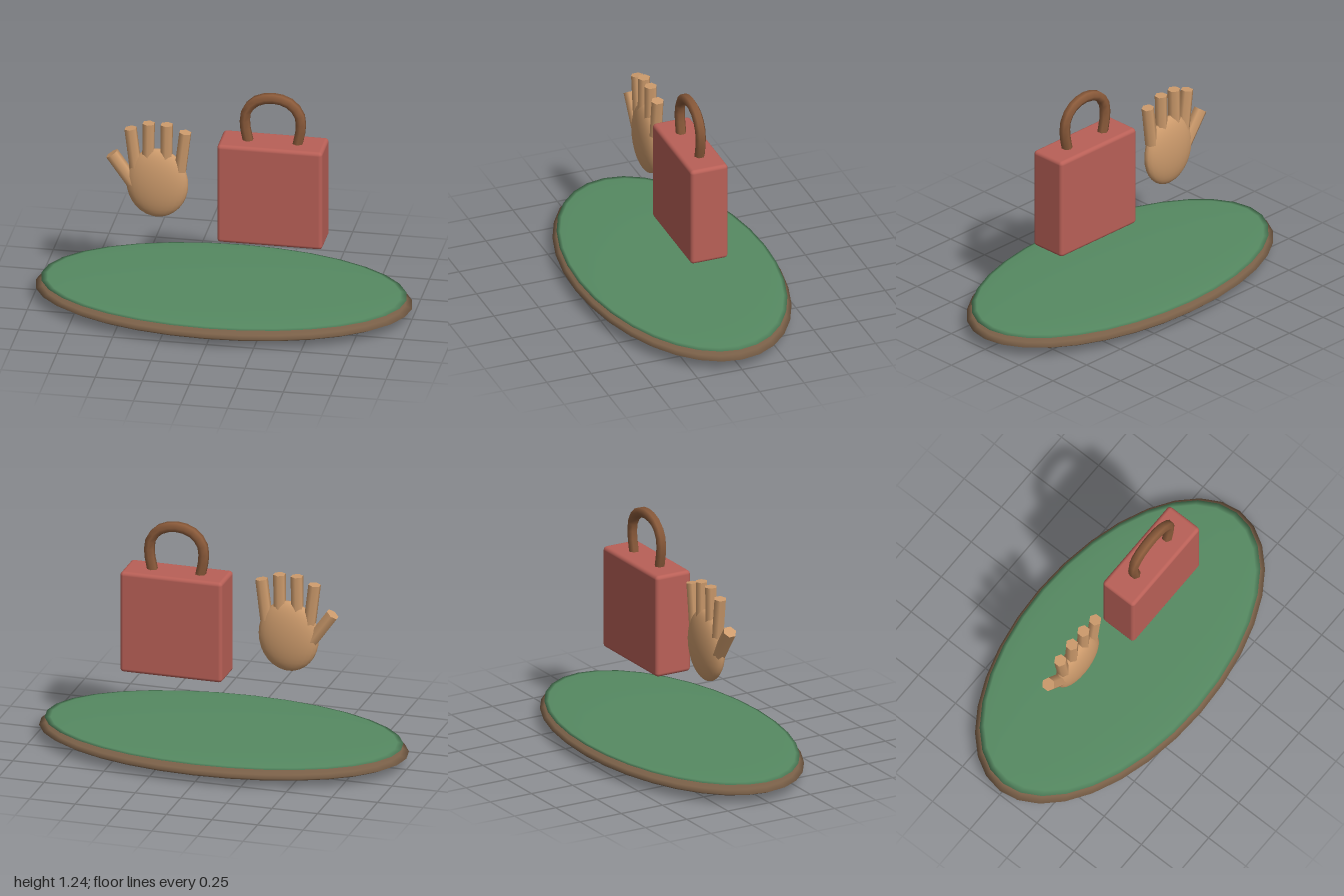
import * as THREE from 'three';
import { RoundedBoxGeometry } from 'three/addons/geometries/RoundedBoxGeometry.js';

const material = (color) => new THREE.MeshStandardMaterial({ color });

function part(parent, name, geometry, mat) {
  const mesh = new THREE.Mesh(geometry, mat);
  mesh.name = name;
  parent.add(mesh);
  return mesh;
}

function ellipsoid(parent, name, mat, center, radii, wide, high) {
  const geometry = new THREE.SphereGeometry(1, wide, high);
  geometry.scale(...radii);
  part(parent, name, geometry, mat).position.set(...center);
}

// Six-sided finger running from its root to its tip
function finger(parent, name, mat, root, tip, radius) {
  const a = new THREE.Vector3(...root, 0);
  const b = new THREE.Vector3(...tip, 0);
  const mesh = part(parent, name, new THREE.CylinderGeometry(radius, radius, a.distanceTo(b), 6), mat);
  mesh.position.copy(a).lerp(b, 0.5);
  mesh.rotation.z = -Math.atan2(b.x - a.x, b.y - a.y);
}

export function createModel() {
  const model = new THREE.Group();
  const earth = material(0x7a6048);
  const grass = material(0x568a62);
  const red = material(0xb96057);
  const leather = material(0x8a5a3a);
  const skin = material(0xcd9b6c);

  // Flat oval island with a grass cap
  const island = new THREE.Group();
  island.name = 'island';
  ellipsoid(island, 'earthBase', earth, [0, 0.06, 0], [1, 0.06, 0.545], 32, 12);
  ellipsoid(island, 'grassTop', grass, [0, 0.104, 0], [0.97, 0.017, 0.525], 32, 12);

  // Floating bag with a looped handle
  const bag = new THREE.Group();
  bag.name = 'bag';
  bag.position.x = 0.26;
  part(bag, 'bagBody', new RoundedBoxGeometry(0.56, 0.56, 0.21, 3, 0.02), red).position.y = 0.685;
  const right = [[-0.127, 0.94], [-0.149, 1.06], [-0.14, 1.13], [-0.09, 1.19]];
  const left = right.map(([x, y]) => [-x, y]).reverse();
  const path = new THREE.CatmullRomCurve3(
    [...right, [0, 1.214], ...left].map(([x, y]) => new THREE.Vector3(x, y, 0)));
  part(bag, 'bagHandle', new THREE.TubeGeometry(path, 16, 0.029, 6), leather);

  // Floating open hand
  const hand = new THREE.Group();
  hand.name = 'hand';
  ellipsoid(hand, 'palm', skin, [-0.355, 0.675, 0], [0.165, 0.195, 0.06], 24, 16);
  finger(hand, 'thumb', skin, [-0.475, 0.653], [-0.596, 0.823], 0.037);
  finger(hand, 'indexFinger', skin, [-0.47, 0.757], [-0.497, 0.977], 0.034);
  finger(hand, 'middleFinger', skin, [-0.403, 0.79], [-0.4, 1.014], 0.034);
  finger(hand, 'ringFinger', skin, [-0.307, 0.79], [-0.304, 1.014], 0.034);
  finger(hand, 'littleFinger', skin, [-0.233, 0.755], [-0.206, 0.977], 0.034);

  model.add(island, bag, hand);
  return model;
}
